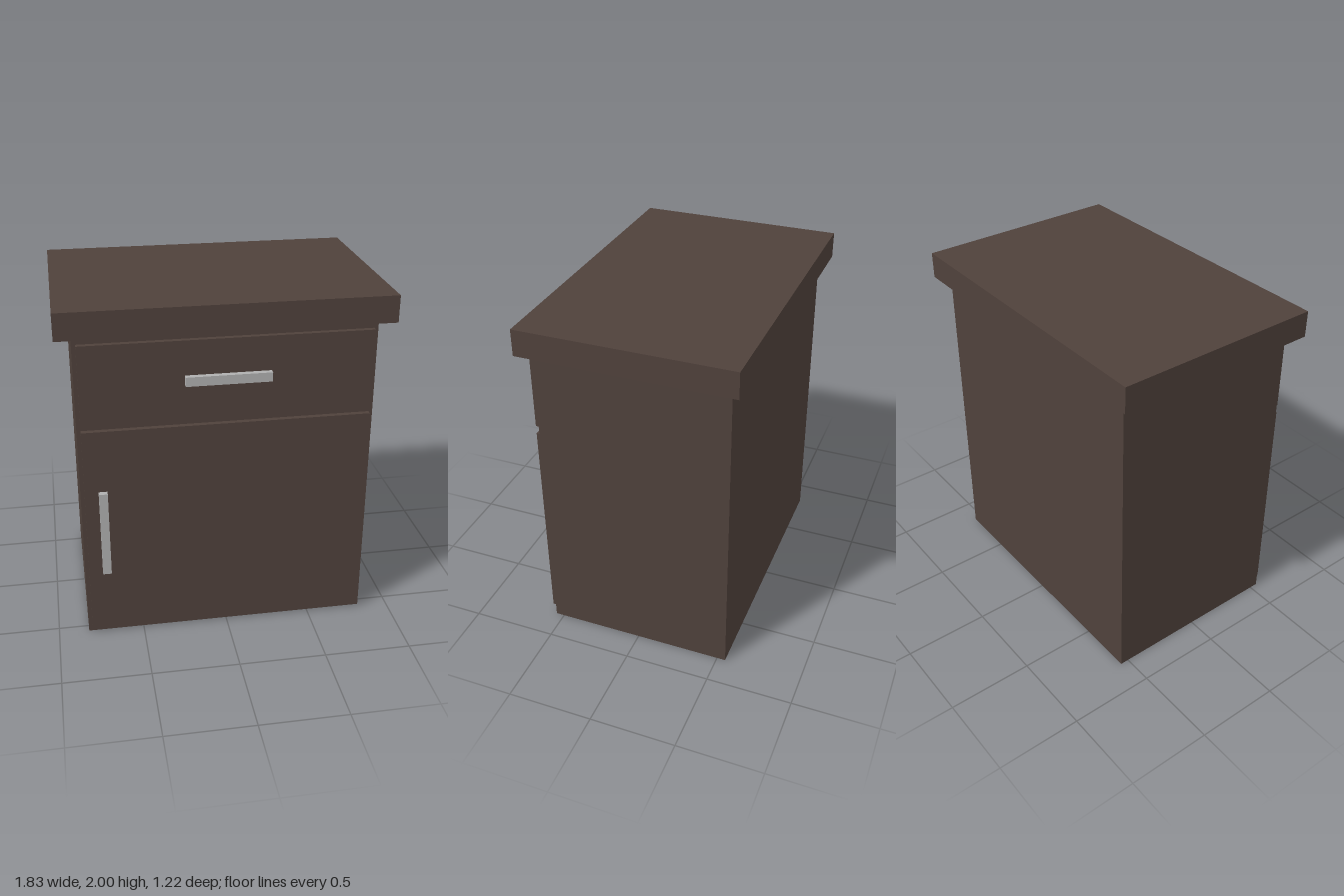
import * as THREE from 'three';

const wood = new THREE.MeshStandardMaterial({ color: 0x4f413b, side: THREE.DoubleSide });
wood.name = 'darkWood';
const metal = new THREE.MeshStandardMaterial({ color: 0xb0b0b0 });
metal.name = 'greyMetal';

// Box given by its low and high corners; an open box has no bottom face
function box(name, material, [x0, y0, z0], [x1, y1, z1], open = false) {
  const geometry = new THREE.BoxGeometry(x1 - x0, y1 - y0, z1 - z0);
  if (open) {
    const index = Array.from(geometry.index.array);
    index.splice(18, 6); // the -y face
    geometry.setIndex(index);
    geometry.clearGroups();
  }
  const mesh = new THREE.Mesh(geometry, material);
  mesh.name = name;
  mesh.position.set((x0 + x1) / 2, (y0 + y1) / 2, (z0 + z1) / 2);
  return mesh;
}

export function createModel() {
  const cabinet = new THREE.Group();
  cabinet.name = 'cabinet';

  // Hollow carcass and overhanging top
  cabinet.add(
    box('carcass', wood, [-0.825, 0, -0.55], [0.825, 1.848, 0.55], true),
    box('countertop', wood, [-0.915, 1.848, -0.612], [0.915, 2, 0.607], true),
  );

  // Drawer with horizontal handle
  const drawer = new THREE.Group();
  drawer.name = 'drawer';
  drawer.add(
    box('drawerFront', wood, [-0.803, 1.36, 0.55], [0.803, 1.806, 0.58]),
    box('drawerHandle', metal, [-0.237, 1.556, 0.58], [0.235, 1.609, 0.612]),
  );

  // Door with vertical handle
  const door = new THREE.Group();
  door.name = 'door';
  door.add(
    box('doorPanel', wood, [-0.803, 0.051, 0.55], [0.803, 1.312, 0.58]),
    box('doorHandle', metal, [-0.726, 0.428, 0.58], [-0.677, 0.946, 0.612]),
  );

  cabinet.add(drawer, door);
  return cabinet;
}
